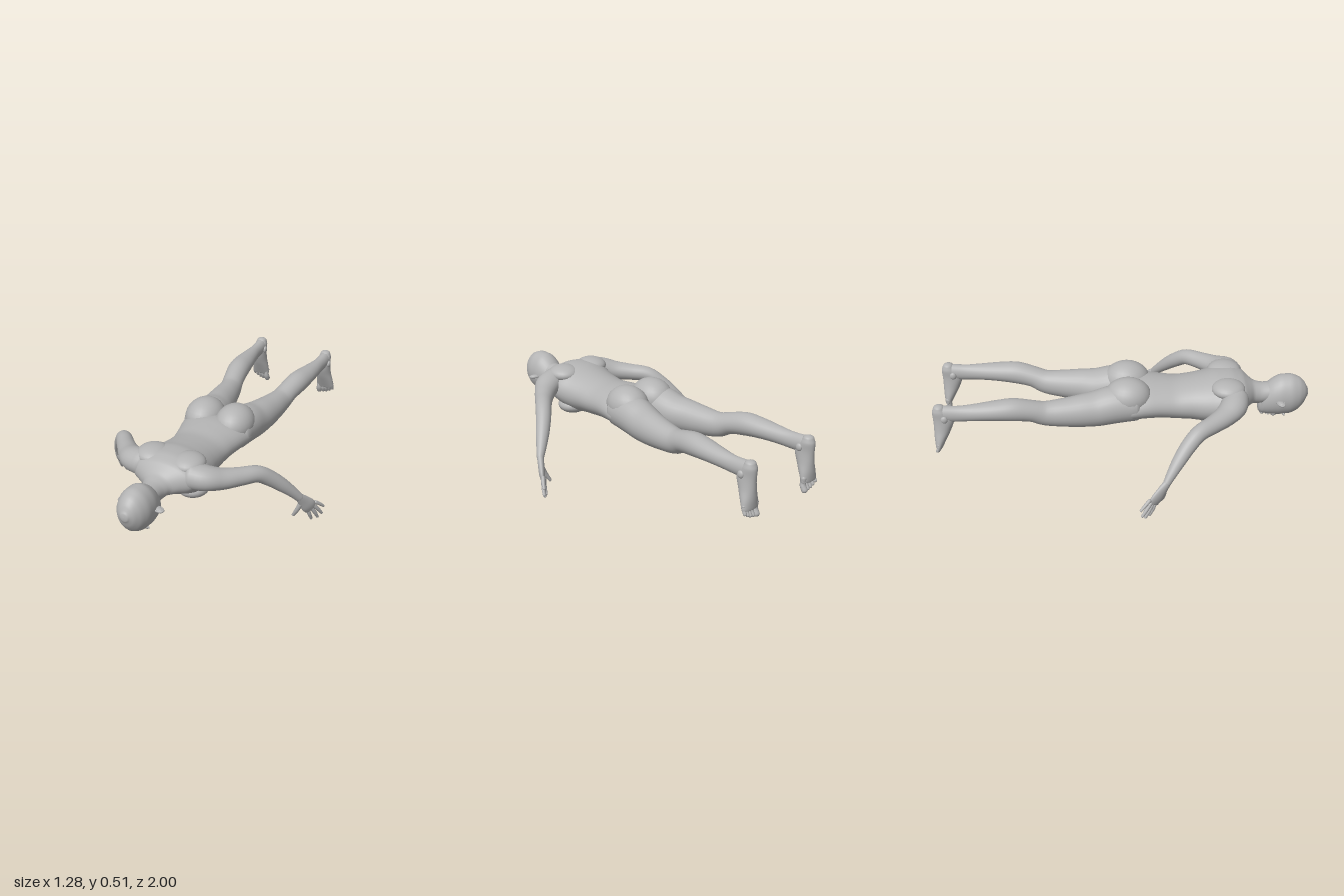
import * as THREE from 'three';

const skin = new THREE.MeshStandardMaterial({ color: 0xb4b4b4 });
skin.name = 'grey skin';

// Smooth tube through stations [x, y, z, radiusU, radiusV] with rounded ends.
// side = direction of radiusU, axis = optional fixed sweep direction.
function loft(name, stations, side, { axis = null, cap = 0.5, seg = 28, steps = 4 } = {}) {
  const path = new THREE.CatmullRomCurve3(stations.map(s => new THREE.Vector3(s[0], s[1], s[2])));
  const size = new THREE.CatmullRomCurve3(stations.map(s => new THREE.Vector3(s[3], s[4], 0)));
  const n = (stations.length - 1) * steps;
  const rings = [];
  const addRing = (t, angle, dir) => {
    const c = path.getPoint(t), r = size.getPoint(t);
    const tan = axis ? axis.clone() : path.getTangent(t);
    const u = side.clone().addScaledVector(tan, -side.dot(tan)).normalize();
    const v = tan.clone().cross(u);
    c.addScaledVector(tan, dir * Math.sin(angle) * cap * Math.min(r.x, r.y));
    rings.push({ c, u, v, a: r.x * Math.cos(angle), b: r.y * Math.cos(angle) });
  };
  for (let k = 4; k > 0; k--) addRing(0, k * Math.PI / 8, -1);
  for (let i = 0; i <= n; i++) addRing(i / n, 0, 0);
  for (let k = 1; k <= 4; k++) addRing(1, k * Math.PI / 8, 1);
  const pos = [], index = [];
  rings.forEach(({ c, u, v, a, b }, i) => {
    for (let j = 0; j < seg; j++) {
      const q = j / seg * Math.PI * 2;
      const p = c.clone().addScaledVector(u, a * Math.cos(q)).addScaledVector(v, b * Math.sin(q));
      pos.push(p.x, p.y, p.z);
      if (i === rings.length - 1) continue;
      const k = i * seg + j, k1 = i * seg + (j + 1) % seg;
      index.push(k, k1, k + seg, k1, k1 + seg, k + seg);
    }
  });
  const g = new THREE.BufferGeometry();
  g.setAttribute('position', new THREE.Float32BufferAttribute(pos, 3));
  g.setIndex(index);
  g.computeVertexNormals();
  const mesh = new THREE.Mesh(g, skin);
  mesh.name = name;
  return mesh;
}

function ellipsoid(name, x, y, z, rx, ry, rz) {
  const mesh = new THREE.Mesh(new THREE.SphereGeometry(1, 24, 16).scale(rx, ry, rz), skin);
  mesh.position.set(x, y, z);
  mesh.name = name;
  return mesh;
}

const X = new THREE.Vector3(1, 0, 0);
const Y = new THREE.Vector3(0, 1, 0);
const BACK = new THREE.Vector3(0, 0, -1);
const DOWN = new THREE.Vector3(0, -1, 0);

// Section [z, half width, top, bottom] turned into a station on the centre line
const section = ([z, w, top, bottom]) => [0, (top + bottom) / 2, z, w, (top - bottom) / 2];

function buildHead() {
  const head = new THREE.Group();
  head.name = 'head';
  head.add(loft('skull', [
    [0.995, 0.025, 0.4, 0.345], [0.98, 0.047, 0.43, 0.31], [0.95, 0.071, 0.46, 0.27],
    [0.9, 0.087, 0.478, 0.246], [0.85, 0.087, 0.475, 0.241], [0.81, 0.08, 0.455, 0.242],
    [0.78, 0.069, 0.43, 0.244], [0.755, 0.055, 0.4, 0.248], [0.742, 0.038, 0.36, 0.255],
  ].map(section), X, { axis: BACK, cap: 0.3, seg: 36 }));
  head.add(loft('nose', [[0, 0.25, 0.865, 0.008, 0.008], [0, 0.24, 0.84, 0.011, 0.011],
    [0, 0.233, 0.822, 0.015, 0.012], [0, 0.242, 0.812, 0.012, 0.008]], X, { seg: 14 }));
  head.add(ellipsoid('upper lip', 0, 0.243, 0.793, 0.024, 0.009, 0.006));
  head.add(ellipsoid('lower lip', 0, 0.244, 0.782, 0.021, 0.009, 0.006));
  head.add(ellipsoid('chin', 0, 0.256, 0.758, 0.028, 0.016, 0.016));
  for (const s of [1, -1]) {
    head.add(ellipsoid('brow', s * 0.033, 0.258, 0.872, 0.026, 0.012, 0.008));
    head.add(ellipsoid('eye', s * 0.034, 0.262, 0.853, 0.014, 0.011, 0.007));
    // Ear: a bowl with a raised rim
    const ear = new THREE.Group();
    ear.name = 'ear';
    const rim = new THREE.Mesh(new THREE.TorusGeometry(0.022, 0.006, 8, 20).scale(0.8, 1.25, 1), skin);
    rim.name = 'ear rim';
    ear.add(rim, ellipsoid('ear bowl', 0, 0, -0.004, 0.016, 0.025, 0.006));
    ear.position.set(s * 0.093, 0.355, 0.842);
    ear.rotation.set(Math.PI / 2, s * (Math.PI / 2 - 0.3), 0, 'YXZ');
    head.add(ear);
  }
  return head;
}

function buildTorso() {
  const torso = new THREE.Group();
  torso.name = 'torso';
  torso.add(loft('trunk and neck', [
    [0.8, 0.058, 0.43, 0.33], [0.74, 0.061, 0.43, 0.315], [0.7, 0.076, 0.44, 0.32],
    [0.67, 0.12, 0.46, 0.32], [0.64, 0.168, 0.482, 0.31], [0.58, 0.198, 0.5, 0.28],
    [0.5, 0.194, 0.498, 0.252], [0.44, 0.178, 0.485, 0.242], [0.36, 0.161, 0.47, 0.25],
    [0.28, 0.157, 0.46, 0.257], [0.2, 0.167, 0.465, 0.268], [0.12, 0.185, 0.468, 0.275],
    [0.04, 0.198, 0.457, 0.28], [-0.045, 0.175, 0.435, 0.29],
  ].map(section), X, { axis: BACK, cap: 0.2, seg: 40 }));
  for (const s of [1, -1]) {
    torso.add(ellipsoid('buttock', s * 0.089, 0.42, 0.02, 0.105, 0.1, 0.125));
    torso.add(ellipsoid('chest muscle', s * 0.088, 0.285, 0.49, 0.085, 0.048, 0.085));
    torso.add(ellipsoid('shoulder blade', s * 0.1, 0.46, 0.55, 0.085, 0.045, 0.09));
  }
  return torso;
}

function buildLeg(s) {
  const leg = new THREE.Group();
  leg.name = s > 0 ? 'left leg' : 'right leg';
  const flip = list => list.map(([x, ...rest]) => [s * x, ...rest]);
  leg.add(loft('thigh and calf', flip([
    [0.1, 0.385, 0.06, 0.096, 0.098], [0.104, 0.379, -0.05, 0.102, 0.103],
    [0.114, 0.363, -0.14, 0.096, 0.097], [0.13, 0.36, -0.22, 0.085, 0.09],
    [0.145, 0.36, -0.32, 0.074, 0.078], [0.158, 0.366, -0.42, 0.062, 0.066],
    [0.172, 0.391, -0.49, 0.059, 0.057], [0.187, 0.41, -0.58, 0.062, 0.06],
    [0.197, 0.413, -0.67, 0.058, 0.053], [0.205, 0.41, -0.77, 0.046, 0.046],
    [0.21, 0.406, -0.87, 0.034, 0.044], [0.212, 0.41, -0.955, 0.034, 0.046],
  ]), X, { cap: 0.4 }));
  leg.add(loft('foot', flip([
    [0.212, 0.448, -0.962, 0.028, 0.028], [0.212, 0.425, -0.957, 0.035, 0.042],
    [0.213, 0.38, -0.943, 0.036, 0.055], [0.214, 0.32, -0.952, 0.041, 0.046],
    [0.216, 0.27, -0.965, 0.05, 0.034], [0.218, 0.225, -0.976, 0.054, 0.021],
  ]), X, { axis: DOWN }));
  for (const [x, y] of [[0.176, 0.4], [0.247, 0.392]]) {
    leg.add(ellipsoid('ankle bone', s * x, y, -0.935, 0.011, 0.02, 0.018));
  }
  // Five toes, the big one on the inner side
  for (let i = 0; i < 5; i++) {
    const x = 0.179 + (i ? 0.006 : 0) + i * 0.019, r = i ? 0.011 - i * 0.0004 : 0.016;
    const tip = 0.182 + i * i * 0.0016;
    leg.add(loft('toe', flip([[x, 0.245, -0.975, r, r], [x, tip + 0.025, -0.973, r, r],
      [x, tip, -0.985, r * 1.05, r]]), X, { seg: 12, cap: 0.9 }));
  }
  return leg;
}

function buildArm(s) {
  const arm = new THREE.Group();
  arm.name = s > 0 ? 'left arm' : 'right arm';
  const flip = list => list.map(([x, ...rest]) => [s * x, ...rest]);
  arm.add(loft('upper arm and forearm', flip([
    [0.13, 0.415, 0.59, 0.07, 0.07], [0.2, 0.408, 0.568, 0.063, 0.072],
    [0.26, 0.393, 0.52, 0.054, 0.06], [0.325, 0.385, 0.45, 0.047, 0.049],
    [0.388, 0.375, 0.372, 0.043, 0.043], [0.43, 0.335, 0.32, 0.041, 0.041],
    [0.477, 0.28, 0.27, 0.036, 0.036], [0.52, 0.225, 0.228, 0.028, 0.027],
    [0.55, 0.183, 0.2, 0.023, 0.019],
  ]), Y));
  const across = new THREE.Vector3(s * 0.5, 0.3, -0.7).normalize();
  arm.add(loft('palm', flip([
    [0.548, 0.187, 0.203, 0.022, 0.018], [0.565, 0.15, 0.175, 0.032, 0.017],
    [0.58, 0.115, 0.15, 0.04, 0.016], [0.588, 0.09, 0.132, 0.036, 0.012],
  ]), across));
  // Fingers from index to little, then the thumb: base, middle, tip, radius
  const digits = [
    ['index finger', [0.571, 0.095, 0.145], [0.581, 0.05, 0.13], [0.586, 0.014, 0.113], 0.0105],
    ['middle finger', [0.586, 0.095, 0.13], [0.603, 0.055, 0.11], [0.612, 0.018, 0.09], 0.0105],
    ['ring finger', [0.597, 0.103, 0.12], [0.616, 0.068, 0.095], [0.628, 0.037, 0.074], 0.01],
    ['little finger', [0.604, 0.118, 0.11], [0.622, 0.096, 0.085], [0.633, 0.077, 0.066], 0.009],
    ['thumb', [0.558, 0.15, 0.188], [0.534, 0.095, 0.185], [0.51, 0.05, 0.176], 0.012],
  ];
  for (const [name, base, mid, tip, r] of digits) {
    const pts = [[...base, r * 1.15, r * 1.15], [...mid, r, r], [...tip, r * 0.75, r * 0.75]];
    arm.add(loft(name, flip(pts), across, { seg: 12, cap: 0.9 }));
  }
  return arm;
}

export function createModel() {
  const model = new THREE.Group();
  model.name = 'prone figure';
  model.add(buildHead(), buildTorso());
  for (const s of [1, -1]) model.add(buildLeg(s), buildArm(s));
  return model;
}
